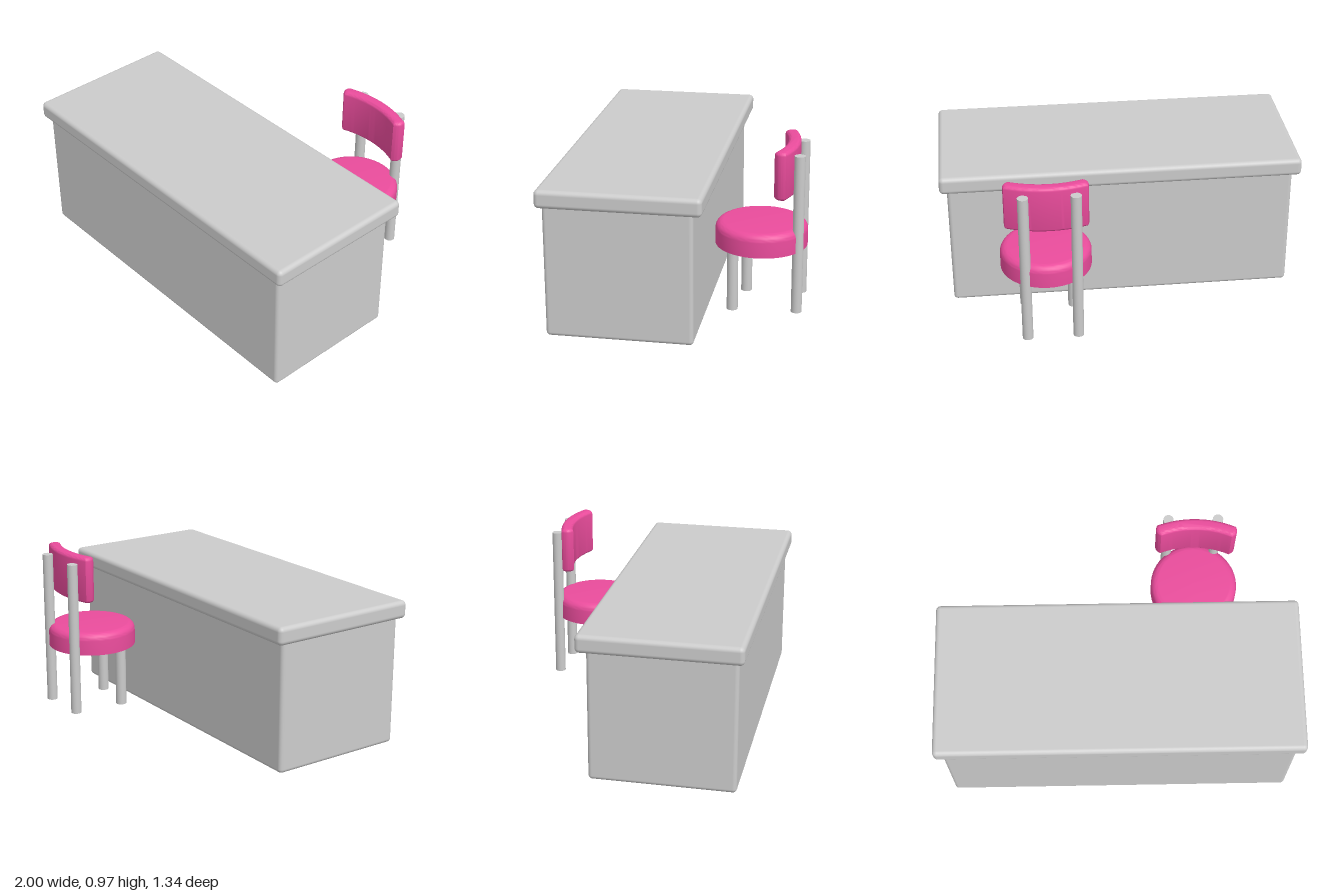
import * as THREE from 'three';
import { RoundedBoxGeometry } from 'three/addons/geometries/RoundedBoxGeometry.js';
import { toCreasedNormals } from 'three/addons/utils/BufferGeometryUtils.js';

const grey = new THREE.MeshStandardMaterial({ color: 0xcccccc });
const pink = new THREE.MeshStandardMaterial({ color: 0xea4c9c });

function add(parent, name, geometry, material, x, y, z) {
  const mesh = new THREE.Mesh(geometry, material);
  mesh.name = name;
  mesh.position.set(x, y, z);
  parent.add(mesh);
  return mesh;
}

// Rounded box given by its minimum and maximum corners
function block(parent, name, min, max, radius) {
  const size = max.map((v, i) => v - min[i]);
  const mid = max.map((v, i) => (v + min[i]) / 2);
  add(parent, name, new RoundedBoxGeometry(...size, 5, radius), grey, ...mid);
}

// Upright round post between two heights
function post(parent, name, x, z, bottom, top, radius) {
  const geometry = new THREE.CylinderGeometry(radius, radius, top - bottom, 24);
  add(parent, name, geometry, grey, x, (bottom + top) / 2, z);
}

// Round cushion with a flat underside and rounded upper edge
function seatGeometry(radius, height, round) {
  const profile = [new THREE.Vector2(0, 0), new THREE.Vector2(radius, 0)];
  for (let i = 0; i <= 8; i++) {
    const a = (i / 8) * Math.PI / 2;
    profile.push(new THREE.Vector2(
      radius - round + round * Math.cos(a),
      height - round + round * Math.sin(a)));
  }
  profile.push(new THREE.Vector2(0, height));
  return toCreasedNormals(new THREE.LatheGeometry(profile, 56), 0.6);
}

// Curved band in plan, centred on its own arc, extruded upward with soft edges
function backrestGeometry(innerRadius, thickness, halfAngle, height, bevel) {
  const r1 = innerRadius + bevel, r2 = innerRadius + thickness - bevel;
  const up = Math.PI / 2, a = halfAngle, bulge = 0.02;
  const at = (r, t) => [r * Math.cos(t), r * Math.sin(t)];
  const shape = new THREE.Shape();
  shape.absarc(0, 0, r1, up - a, up + a, false);
  shape.quadraticCurveTo(...at((r1 + r2) / 2, up + a + bulge), ...at(r2, up + a));
  shape.absarc(0, 0, r2, up + a, up - a, true);
  shape.quadraticCurveTo(...at((r1 + r2) / 2, up - a - bulge), ...at(r1, up - a));
  const geometry = new THREE.ExtrudeGeometry(shape, {
    depth: height - 2 * bevel, bevelEnabled: true, bevelSize: bevel,
    bevelThickness: bevel, bevelSegments: 6, curveSegments: 20,
  });
  geometry.rotateX(-Math.PI / 2);
  geometry.translate(0, bevel, 0);
  return toCreasedNormals(geometry, 0.7);
}

export function createModel() {
  const model = new THREE.Group();
  model.name = 'deskWithChair';

  // Desk: solid body and overhanging top
  const desk = new THREE.Group();
  desk.name = 'desk';
  block(desk, 'deskBody', [-0.96, 0, -0.14], [0.96, 0.74, 0.64], 0.022);
  block(desk, 'deskTop', [-1, 0.717, -0.19], [1, 0.815, 0.67], 0.025);
  model.add(desk);

  // Chair behind the desk
  const chair = new THREE.Group();
  chair.name = 'chair';
  add(chair, 'seat', seatGeometry(0.247, 0.125, 0.042), pink, 0.444, 0.4, -0.424);
  const rest = add(chair, 'backrest', backrestGeometry(0.5, 0.067, 0.378, 0.26, 0.02),
    pink, 0.423, 0.71, -0.053);
  rest.rotation.y = -0.037;

  // Rear posts carry the backrest; short legs stand under the seat
  for (const x of [0.29, 0.565]) post(chair, 'rearPost', x, -0.63, 0.06, 0.93, 0.029);
  post(chair, 'frontLegRight', 0.293, -0.327, 0.05, 0.41, 0.03);
  post(chair, 'frontLegLeft', 0.56, -0.285, 0.05, 0.41, 0.03);
  model.add(chair);

  return model;
}
